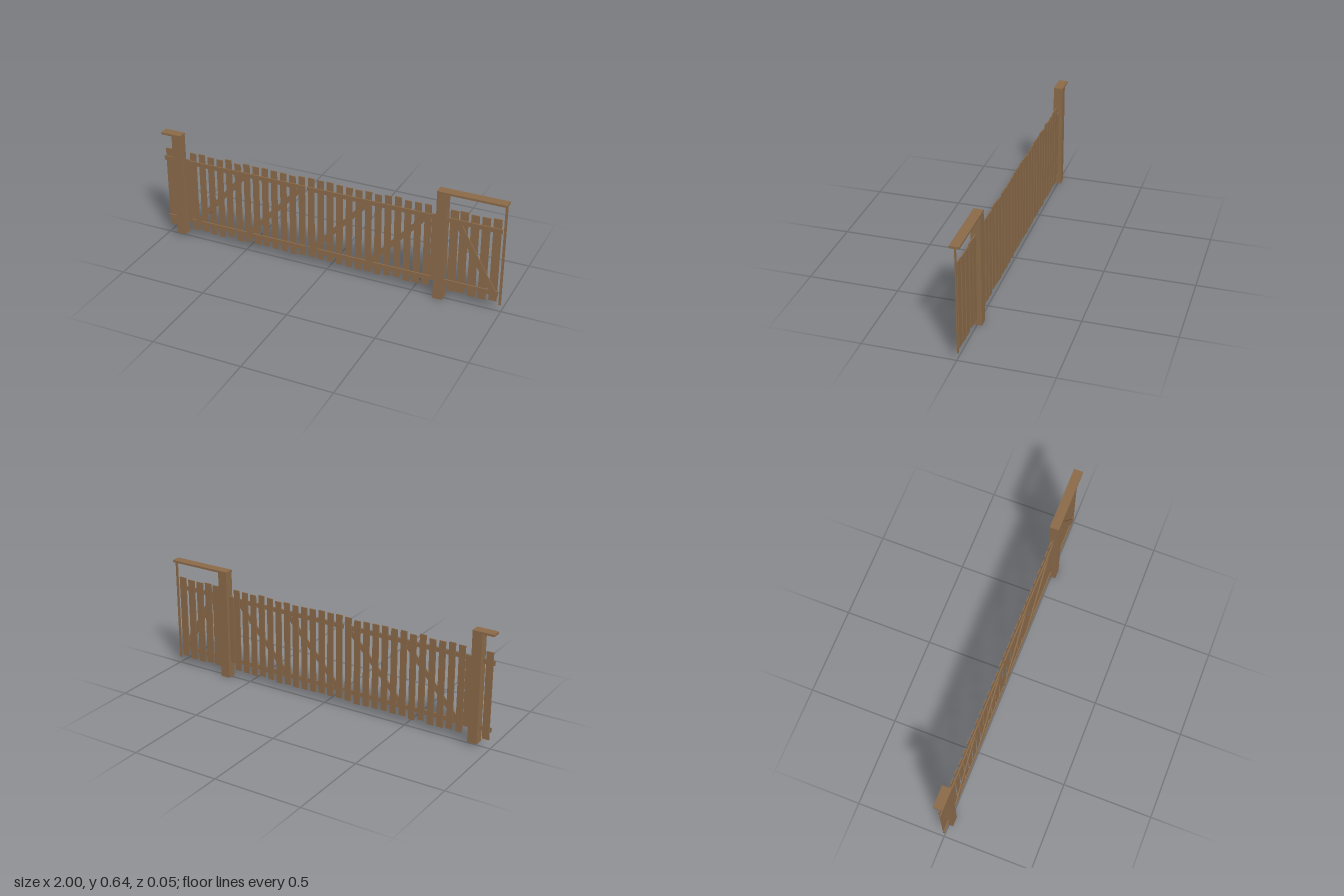
import * as THREE from 'three';

export function createModel() {
  const root = new THREE.Group();
  root.name = 'woodenGate';
  const wood = new THREE.MeshStandardMaterial({ color: 0x8b6b4a });
  wood.name = 'brownWood';

  // Box given by its limits on each axis
  function board(name, x0, x1, y0, y1, z0, z1) {
    const mesh = new THREE.Mesh(new THREE.BoxGeometry(x1 - x0, y1 - y0, z1 - z0), wood);
    mesh.position.set((x0 + x1) / 2, (y0 + y1) / 2, (z0 + z1) / 2);
    mesh.name = name;
    root.add(mesh);
  }

  const BACK = -0.006, MID = 0, FRONT = 0.007;
  const LOW = [0.092, 0.118], HIGH = [0.465, 0.49];

  // Slanted brace between the two rails, ends cut level
  function brace(xBottom, xTop) {
    const h = 0.019;
    const shape = new THREE.Shape([
      new THREE.Vector2(xBottom - h, LOW[1]), new THREE.Vector2(xBottom + h, LOW[1]),
      new THREE.Vector2(xTop + h, HIGH[0]), new THREE.Vector2(xTop - h, HIGH[0]),
    ]);
    const geo = new THREE.ExtrudeGeometry(shape, { depth: FRONT - MID, bevelEnabled: false });
    const mesh = new THREE.Mesh(geo, wood);
    mesh.name = 'diagonalBrace';
    root.add(mesh);
  }

  function rails(x0, x1) {
    board('bottomRail', x0, x1, ...LOW, MID, FRONT);
    board('topRail', x0, x1, ...HIGH, MID, FRONT);
  }

  // Picket of even length with a small height offset
  function picket(x, width, lift) {
    board('picket', x - width / 2, x + width / 2, 0.05 + lift, 0.537 + lift, BACK, MID);
  }

  // Main posts with overhanging caps
  board('rightPost', -0.935, -0.881, 0.018, 0.63, -0.026, 0.026);
  board('leftPost', 0.628, 0.682, 0, 0.63, -0.026, 0.026);
  board('rightCap', -1, -0.88, 0.63, 0.642, -0.026, 0.026);
  board('leftCap', 0.626, 1, 0.63, 0.642, -0.026, 0.026);
  board('endUpright', 0.984, 0.997, 0.038, 0.63, BACK, MID);

  // Two gate leaves: rails, end stiles and braces
  rails(-0.845, -0.127);
  rails(-0.116, 0.605);
  board('rightStile', -0.874, -0.842, 0.092, 0.492, BACK, MID);
  board('leftStile', 0.597, 0.628, 0.092, 0.492, BACK, MID);
  brace(-0.80, -0.50);
  brace(-0.475, -0.155);
  brace(-0.08, 0.235);
  brace(0.255, 0.565);

  // Gate pickets with uneven tops, in thousandths
  const lifts = [0, 3, -3, -5, 7, -6, 3, 0, 3, 0, -1, -5, 2, 5, 2, 4, 0, -2, -4, 0, -5, 2, 7, -2, 0, 2, -2];
  for (let i = 0; i < 26; i++) picket(-0.82 + i * 0.0558, 0.037, lifts[i] / 1000);

  // Fixed panel beside the left post
  rails(0.682, 0.98);
  brace(0.945, 0.745);
  [[0.719, 0], [0.772, 4], [0.831, -3], [0.89, -2], [0.95, 4]]
    .forEach(([x, l]) => picket(x, 0.044, l / 1000));

  // Short fence end beyond the right post
  rails(-1, -0.935);
  picket(-0.973, 0.039, 0);

  return root;
}
